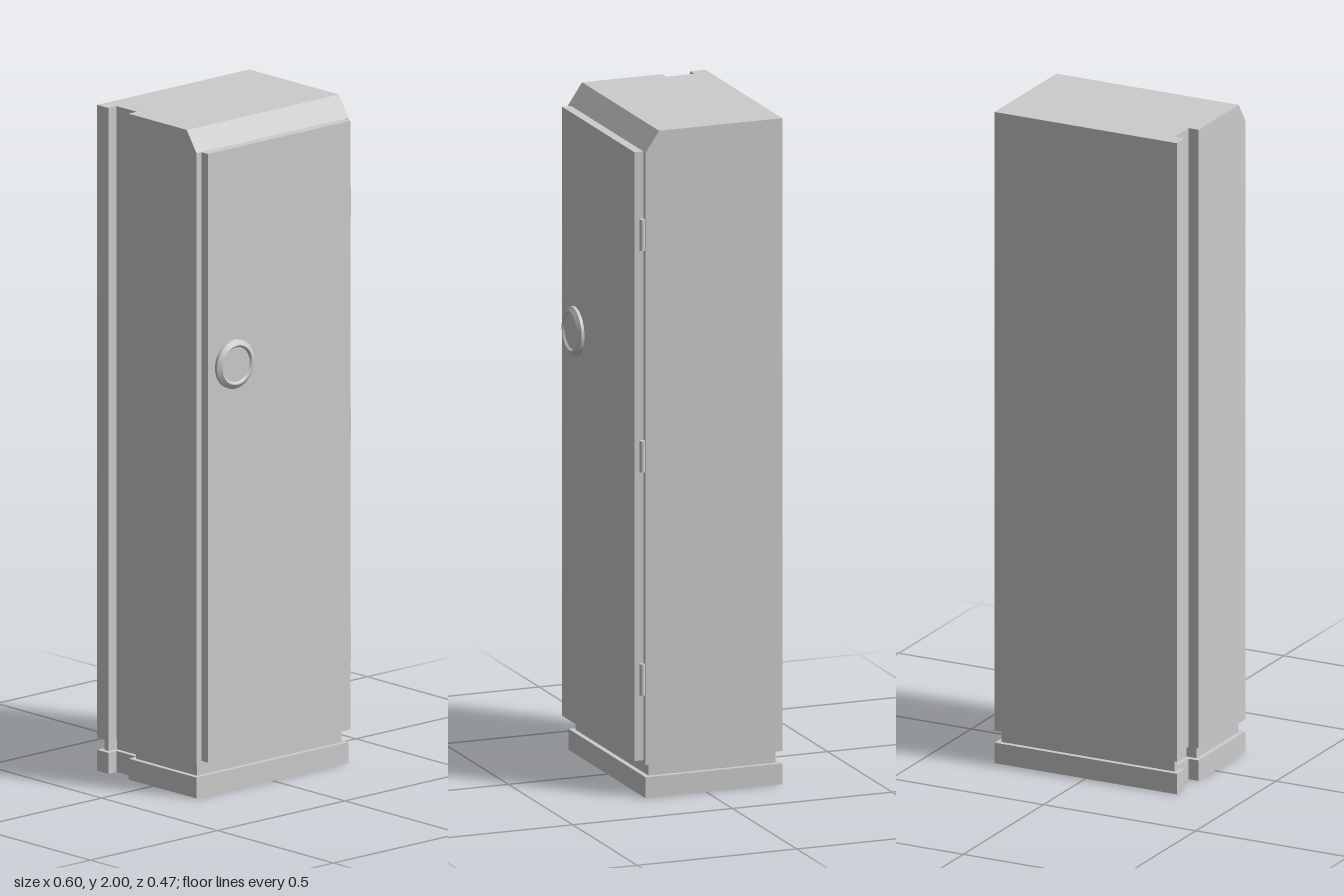
import * as THREE from 'three';

const L = -0.3, R = 0.298, BACK = -0.238, FRONT = 0.19;
const NOTCH_X = -0.268, NOTCH_BACK = -0.19, NOTCH_FRONT = -0.103;

export function createModel() {
  const model = new THREE.Group();
  const grey = new THREE.MeshStandardMaterial({ color: 0xcccccc });

  const add = (name, geometry, x = 0, y = 0, z = 0) => {
    const mesh = new THREE.Mesh(geometry, grey);
    mesh.name = name;
    mesh.position.set(x, y, z);
    model.add(mesh);
    return mesh;
  };

  // Footprint with the pipe notch at the rear of the right side, extruded upward
  const slab = (name, y0, y1, inset, front) => {
    const pts = [
      [L + inset, BACK + inset], [R - inset, BACK + inset], [R - inset, front], [L + inset, front],
      [L + inset, NOTCH_FRONT + inset], [NOTCH_X + inset, NOTCH_FRONT + inset],
      [NOTCH_X + inset, NOTCH_BACK - inset], [L + inset, NOTCH_BACK - inset],
    ].map(([x, z]) => new THREE.Vector2(x, -z));
    const g = new THREE.ExtrudeGeometry(new THREE.Shape(pts), { depth: y1 - y0, bevelEnabled: false });
    g.rotateX(-Math.PI / 2);
    return add(name, g, 0, y0, 0);
  };

  slab('plinth', 0, 0.063, 0, FRONT);
  slab('plinthGroove', 0.063, 0.1, 0.015, FRONT - 0.015);
  slab('cabinetBody', 0.1, 2, 0, 0.148);

  // Front of the cabinet with its sloped top edge, extruded across the width
  const profile = new THREE.Shape([
    [-0.148, 0.1], [-0.148, 2], [-FRONT, 1.938], [-FRONT, 0.1],
  ].map(([x, y]) => new THREE.Vector2(x, y)));
  const frontGeometry = new THREE.ExtrudeGeometry(profile, { depth: R - L, bevelEnabled: false });
  frontGeometry.rotateY(Math.PI / 2);
  add('cabinetFront', frontGeometry, L, 0, 0);

  // Door
  add('door', new THREE.BoxGeometry(0.561, 1.828, 0.028), -0.0005, 1.024, 0.204);

  // Hinge barrels on the left edge
  for (const y of [0.355, 1.025, 1.69]) {
    add('hinge', new THREE.CylinderGeometry(0.008, 0.008, 0.094, 16), 0.289, y, 0.197);
  }

  // Round handle: bevelled rim around a shallow dished face
  const rim = [[0.073, 0], [0.073, 0.009], [0.06, 0.018], [0.057, 0.018], [0.052, 0.012], [0, 0.012]];
  const handle = new THREE.Group();
  handle.name = 'handle';
  for (let i = 0; i < rim.length - 1; i++) {
    const part = new THREE.Mesh(
      new THREE.LatheGeometry([rim[i], rim[i + 1]].map(([r, h]) => new THREE.Vector2(r, h)), 40), grey);
    part.name = 'handleRing';
    handle.add(part);
  }
  handle.rotation.x = Math.PI / 2;
  handle.position.set(-0.18, 1.29, 0.218);
  model.add(handle);

  return model;
}
